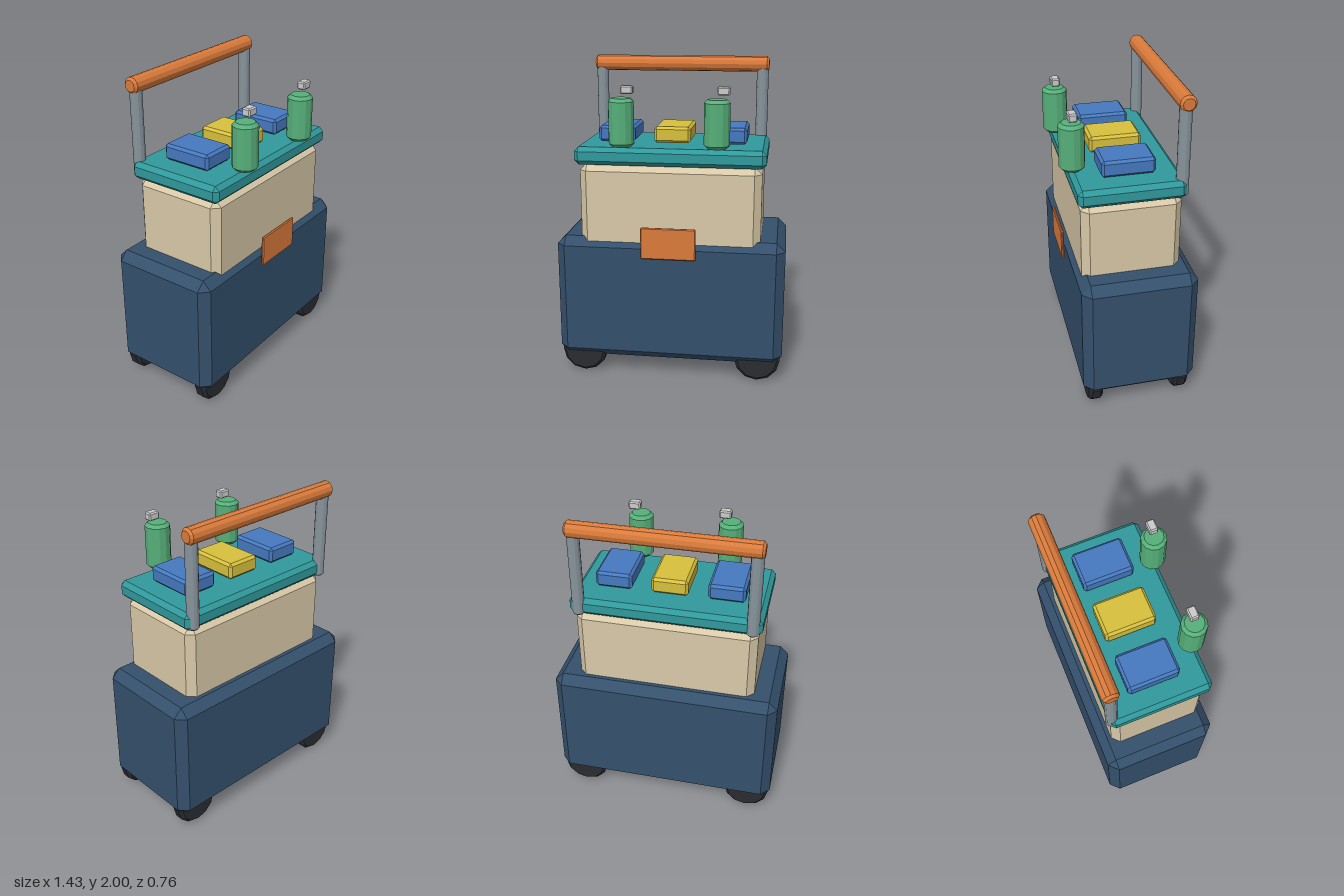
import * as THREE from 'three';
import { ConvexGeometry } from 'three/addons/geometries/ConvexGeometry.js';

const COLORS = {
  navy: 0x34506c, cream: 0xd9c9a8, teal: 0x30999c, orange: 0xdb7b3b, green: 0x56b07a,
  blue: 0x4679c0, yellow: 0xd8c03c, steel: 0x87949c, white: 0xcccccc, rubber: 0x2a2c30,
};
const materials = {};
for (const key in COLORS) {
  materials[key] = new THREE.MeshStandardMaterial({ color: COLORS[key], flatShading: true });
}

// Box with every edge chamfered by c, given by its min and max corners
function chamferBox([x0, y0, z0], [x1, y1, z1], c) {
  const h = [(x1 - x0) / 2, (y1 - y0) / 2, (z1 - z0) / 2];
  const points = [];
  for (const sx of [-1, 1]) for (const sy of [-1, 1]) for (const sz of [-1, 1]) {
    for (let full = 0; full < 3; full++) {
      const [x, y, z] = h.map((v, i) => (i === full ? v : v - c));
      points.push(new THREE.Vector3(sx * x, sy * y, sz * z));
    }
  }
  return new ConvexGeometry(points).translate((x0 + x1) / 2, (y0 + y1) / 2, (z0 + z1) / 2);
}

// Upright twelve-sided cylinder with chamfered rims, centred on the origin
function chamferCylinder(r, length, c) {
  const h = length / 2;
  const profile = [[0, -h], [r - c, -h], [r, -h + c], [r, h - c], [r - c, h], [0, h]];
  return new THREE.LatheGeometry(profile.map(([x, y]) => new THREE.Vector2(x, y)), 12);
}

export function createModel() {
  const model = new THREE.Group();
  model.name = 'serviceCart';
  const add = (name, geometry, color) => {
    const mesh = new THREE.Mesh(geometry, materials[color]);
    mesh.name = name;
    model.add(mesh);
  };

  // Stacked cabinet, upper bin and tray top
  add('cabinet', chamferBox([-0.715, 0.12, -0.38], [0.715, 0.92, 0.33], 0.055), 'navy');
  add('upperBin', chamferBox([-0.56, 0.78, -0.3], [0.56, 1.385, 0.3], 0.045), 'cream');
  add('trayTop', chamferBox([-0.585, 1.38, -0.315], [0.585, 1.49, 0.32], 0.027), 'teal');
  add('frontPlate', chamferBox([-0.17, 0.81, 0.343], [0.17, 1.01, 0.36], 0.006), 'orange');

  // Folded cloths on the tray
  for (const [name, x, color] of [['rightCloth', -0.345, 'blue'], ['middleCloth', 0, 'yellow'], ['leftCloth', 0.345, 'blue']]) {
    add(name, chamferBox([x - 0.113, 1.5, -0.16], [x + 0.113, 1.6, 0.16], 0.016), color);
  }

  // Push handle
  add('handleBar', chamferCylinder(0.05, 1.14, 0.015).rotateZ(Math.PI / 2).translate(0, 1.95, -0.3), 'orange');

  for (const [side, s] of [['right', -1], ['left', 1]]) {
    add(side + 'HandlePost', chamferCylinder(0.038, 0.55, 0.01).translate(s * 0.528, 1.66, -0.295), 'steel');

    // Spray bottle with an offset nozzle
    const x = s * 0.287;
    add(side + 'Bottle', chamferCylinder(0.078, 0.29, 0.02).translate(x, 1.645, 0.3), 'green');
    add(side + 'Nozzle', chamferBox([x, 1.815, 0.273], [x + 0.075, 1.865, 0.327], 0.008), 'white');

    // Wheels
    for (const [end, z] of [['Front', 0.255], ['Back', -0.295]]) {
      add(side + end + 'Wheel', chamferCylinder(0.145, 0.09, 0.02).rotateX(Math.PI / 2).translate(s * 0.558, 0.15, z), 'rubber');
    }
  }
  return model;
}
